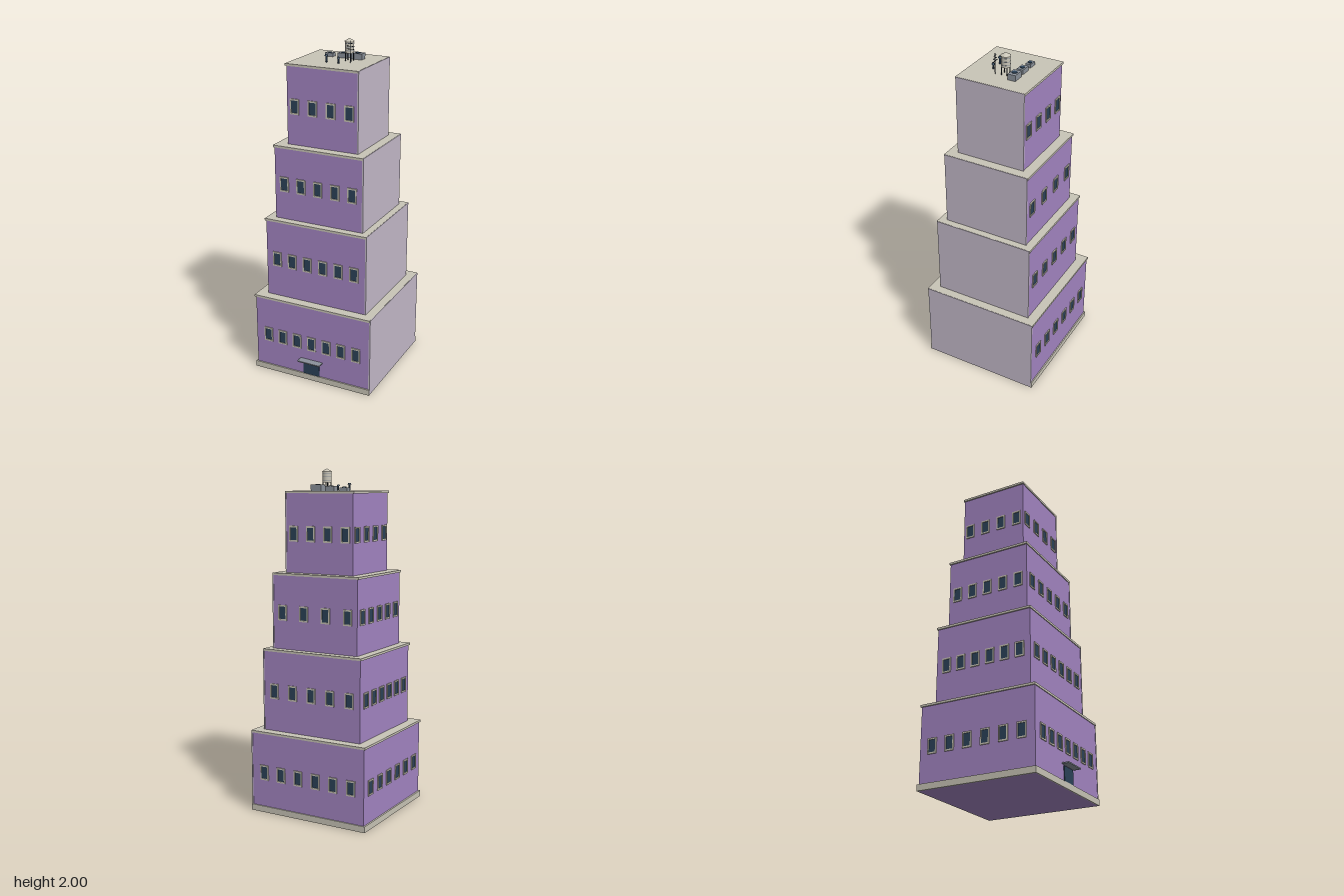
import * as THREE from 'three';

const mat = (name, color) => {
  const m = new THREE.MeshStandardMaterial({ color });
  m.name = name;
  return m;
};

export function createModel() {
  const root = new THREE.Group();
  root.name = 'steppedTower';

  const purple = mat('purple wall', 0xa385c2);
  const lilac = mat('lilac grey wall', 0xc5bbca);
  const stone = mat('stone trim', 0xc9c5b7);
  const glass = mat('dark glass', 0x2b4258);
  const metal = mat('grey metal', 0x8b929b);
  const dark = mat('dark metal', 0x26303a);

  const add = (parent, name, geometry, material, x, y, z) => {
    const m = new THREE.Mesh(geometry, material);
    m.name = name;
    m.position.set(x, y, z);
    parent.add(m);
    return m;
  };
  const group = (name, parent = root) => {
    const g = new THREE.Group();
    g.name = name;
    parent.add(g);
    return g;
  };
  // box given by its low and high corners
  const block = (parent, name, material, [x0, y0, z0], [x1, y1, z1]) =>
    add(parent, name, new THREE.BoxGeometry(x1 - x0, y1 - y0, z1 - z0), material,
      (x0 + x1) / 2, (y0 + y1) / 2, (z0 + z1) / 2);
  const cyl = (parent, name, material, r0, r1, h, x, y, z, n = 16) =>
    add(parent, name, new THREE.CylinderGeometry(r0, r1, h, n), material, x, y + h / 2, z);

  // window: four frame bars around a pane, facing +z
  const W = 0.056, H = 0.09, T = 0.007, D = 0.006;
  const barV = new THREE.BoxGeometry(T, H, D);
  const barH = new THREE.BoxGeometry(W - 2 * T, T * 1.3, D);
  const pane = new THREE.BoxGeometry(W - 2 * T, H - 2 * T, 0.002);
  const makeWindow = (parent, x, y) => {
    const w = group('window', parent);
    w.position.set(x, y, 0);
    add(w, 'glassPane', pane, glass, 0, 0, 0.001);
    for (const s of [-1, 1]) {
      add(w, 'frameSide', barV, stone, s * (W - T) / 2, 0, D / 2);
      add(w, 'frameRail', barH, stone, 0, s * (H - T * 1.3) / 2, D / 2);
    }
  };
  const windowRow = (parent, name, count, span, y, pos, angle) => {
    const row = group(name, parent);
    row.position.set(...pos);
    row.rotation.y = angle;
    for (let i = 0; i < count; i++) makeWindow(row, span * (i / (count - 1) - 0.5), y);
  };

  // stacked storeys: base, top, half width, half depth, window height, span, counts
  const CZ = -0.021;
  const tiers = [
    { y0: 0, y1: 0.488, hx: 0.372, hz: 0.354, wy: 0.241, span: 0.58, n: [7, 6, 6] },
    { y0: 0.488, y1: 0.971, hx: 0.318, hz: 0.301, wy: 0.724, span: 0.498, n: [6, 5, 6] },
    { y0: 0.971, y1: 1.411, hx: 0.275, hz: 0.259, wy: 1.183, span: 0.43, n: [5, 4, 5] },
    { y0: 1.411, y1: 1.875, hx: 0.217, hz: 0.206, wy: 1.634, span: 0.339, n: [4, 4, 4] },
  ];
  tiers.forEach(({ y0, y1, hx, hz, wy, span, n }, i) => {
    const t = group('tier' + (i + 1));
    const cap = 0.013, lip = 0.008, front = CZ + hz, back = CZ - hz;
    block(t, 'walls', purple, [-hx, y0, back], [hx, y1 - cap, front]);
    block(t, 'roofCornice', stone, [-hx - lip, y1 - cap, back - 0.005], [hx + 0.005, y1, front + 0.005]);
    block(t, 'blankSideWall', lilac, [hx, y0, back - 0.002], [hx + lip, y1 - 0.001, front + 0.002]);
    windowRow(t, 'frontWindows', n[0], span, wy, [0, 0, front], 0);
    windowRow(t, 'backWindows', n[1], span, wy, [0, 0, back], Math.PI);
    windowRow(t, 'sideWindows', n[2], span * hz / hx, wy, [-hx, 0, CZ], -Math.PI / 2);
  });

  // plinth strips on the three open sides
  const base = group('plinth');
  const F = CZ + 0.354, B = CZ - 0.354;
  block(base, 'frontPlinth', stone, [-0.382, 0, F], [0.381, 0.036, F + 0.008]);
  block(base, 'backPlinth', stone, [-0.382, 0, B - 0.007], [0.381, 0.036, B]);
  block(base, 'sidePlinth', stone, [-0.382, 0, B], [-0.372, 0.036, F]);

  // entrance
  const entrance = group('entrance');
  block(entrance, 'door', glass, [-0.053, 0.036, F], [0.053, 0.122, F + 0.005]);
  block(entrance, 'canopy', metal, [-0.074, 0.127, F], [0.072, 0.134, 0.376]);

  // rooftop fan units
  const R = 1.875;
  [[-0.089, -0.096, 0.05, 0.032, 0.02, 0.011],
    [-0.002, -0.096, 0.059, 0.039, 0.027, 0.013],
    [0.087, -0.096, 0.068, 0.046, 0.034, 0.015]].forEach(([x, z, w, d, h, r]) => {
    const u = group('fanUnit');
    add(u, 'fanHousing', new THREE.BoxGeometry(w, h, d), metal, x, R + h / 2, z);
    cyl(u, 'fan', glass, r, r, 0.003, x, R + h, z);
  });

  // water tank on legs
  const tank = group('waterTank');
  tank.position.set(0.065, R, -0.031);
  for (const sx of [-1, 1]) for (const sz of [-1, 1])
    cyl(tank, 'tankLeg', dark, 0.003, 0.003, 0.046, sx * 0.017, 0, sz * 0.017, 6);
  cyl(tank, 'tankBody', stone, 0.026, 0.026, 0.064, 0, 0.046, 0, 20);
  for (const y of [0.058, 0.078, 0.098])
    cyl(tank, 'tankBand', metal, 0.0268, 0.0268, 0.003, 0, y, 0, 20);
  cyl(tank, 'tankRoof', stone, 0.003, 0.029, 0.015, 0, 0.11, 0, 20);

  // antenna with crossbars
  const antenna = group('antenna');
  antenna.position.set(0.093, R, 0.019);
  cyl(antenna, 'mast', dark, 0.002, 0.002, 0.122, 0, 0, 0, 6);
  [[0.046, 0.076], [0.036, 0.092], [0.026, 0.108]].forEach(([w, y]) =>
    add(antenna, 'crossbar', new THREE.BoxGeometry(w, 0.003, 0.003), dark, 0, y, 0));

  // vent pipes with caps
  [[-0.033, 0.045, 0.011], [0.042, 0.036, 0.009]].forEach(([x, h, r]) => {
    const v = group('ventPipe');
    cyl(v, 'pipe', glass, r * 0.5, r * 0.5, h - 0.008, x, R, 0.06, 10);
    cyl(v, 'pipeCap', glass, r * 0.6, r, 0.009, x, R + h - 0.009, 0.06, 12);
  });

  return root;
}
